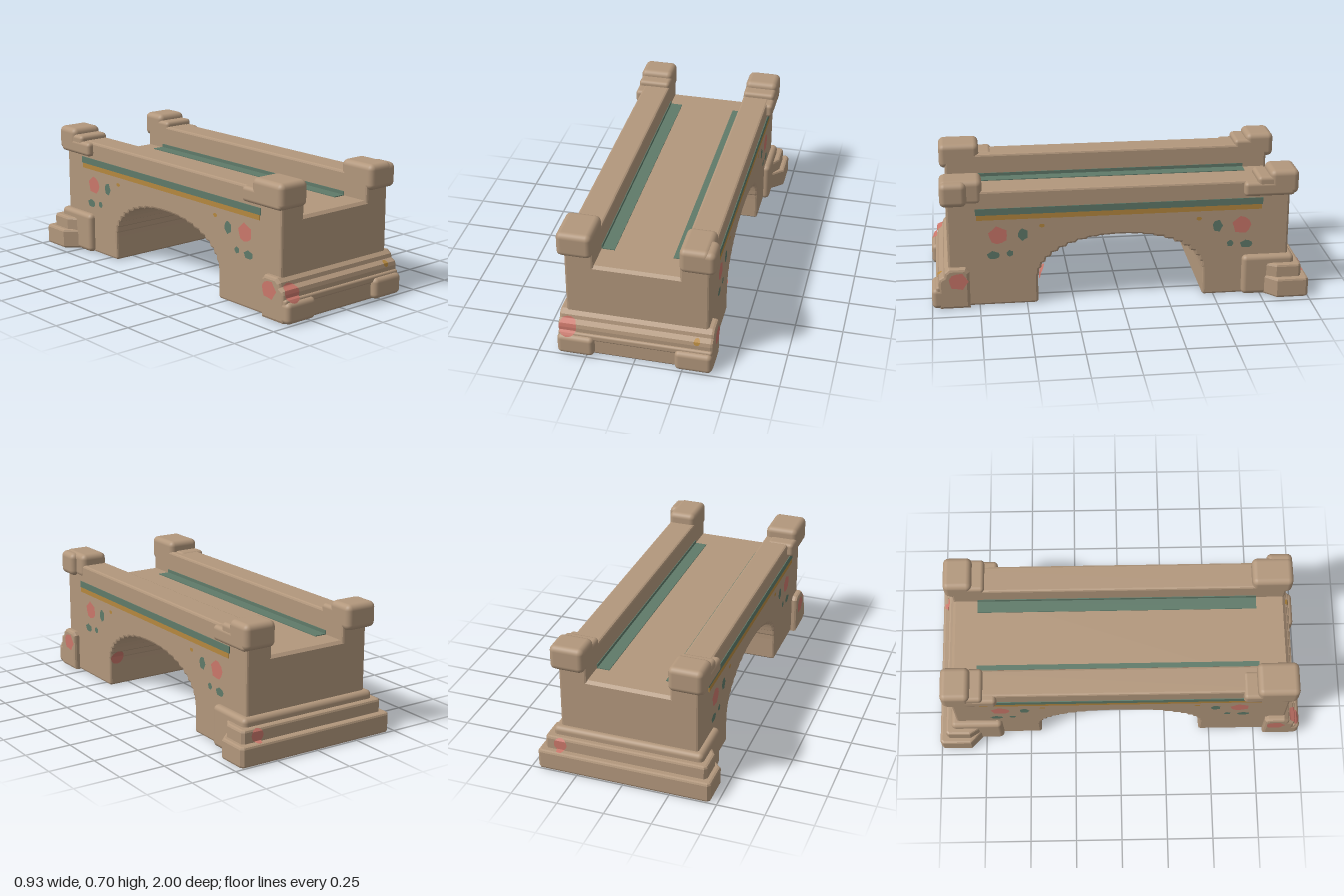
import * as THREE from 'three';
import { RoundedBoxGeometry } from 'three/addons/geometries/RoundedBoxGeometry.js';

export function createModel() {
  const model = new THREE.Group();
  model.name = 'bridge';
  const material = (name, color, side = THREE.FrontSide) => {
    const m = new THREE.MeshStandardMaterial({ color, side });
    m.name = name;
    return m;
  };
  const stone = material('sandstone', 0xb2977c);
  const green = material('greenPaint', 0x5f7a69, THREE.DoubleSide);
  const orange = material('orangePaint', 0xb5883f, THREE.DoubleSide);
  const red = material('redPaint', 0xca776a, THREE.DoubleSide);

  const add = (name, geometry, mat = stone) => {
    const mesh = new THREE.Mesh(geometry, mat);
    mesh.name = name;
    model.add(mesh);
    return mesh;
  };
  // Box given by its limits; rounded when r > 0
  const block = (name, x, y, z, r = 0.02, mat = stone) => {
    const [w, h, d] = [x, y, z].map((a) => Math.abs(a[1] - a[0]));
    const g = r ? new RoundedBoxGeometry(w, h, d, 3, r) : new THREE.BoxGeometry(w, h, d);
    g.translate((x[0] + x[1]) / 2, (y[0] + y[1]) / 2, (z[0] + z[1]) / 2);
    return add(name, g, mat);
  };
  const extrude = (pts, depth, bevel) => {
    const shape = new THREE.Shape(pts.map((p) => new THREE.Vector2(p[0], p[1])));
    const g = new THREE.ExtrudeGeometry(shape, {
      depth: depth - 2 * bevel, bevelEnabled: bevel > 0,
      bevelSize: bevel, bevelThickness: bevel, bevelOffset: -bevel, bevelSegments: 2,
    });
    return g.translate(0, 0, bevel);
  };
  // Side profile of (z, y) points, extruded between two x limits
  const across = (name, pts, x0, x1, bevel) =>
    add(name, extrude(pts, x1 - x0, bevel).rotateY(-Math.PI / 2).translate(x1, 0, 0));

  // Lightly stepped arch opening
  const arch = [];
  const steps = 22;
  const onArch = (i) => {
    const a = Math.PI * (1 - i / steps);
    return [0.44 * Math.cos(a), 0.13 + 0.24 * Math.sin(a)];
  };
  for (let i = 0; i <= steps; i++) {
    const p = onArch(i);
    arch.push(p);
    if (i === steps) break;
    const q = onArch(i + 1);
    const corner = q[1] > p[1] ? [p[0], q[1]] : [q[0], p[1]];
    arch.push([0, 1].map((k) => (p[k] + q[k]) / 2 * 0.4 + corner[k] * 0.6));
  }
  const profile = (top) => [
    [-0.9, 0.012], [-0.888, 0], [-0.45, 0], [-0.44, 0.01], ...arch,
    [0.44, 0.01], [0.45, 0], [0.898, 0], [0.91, 0.012],
    [0.91, top - 0.015], [0.895, top], [-0.885, top], [-0.9, top - 0.015],
  ];

  // Deck and side walls
  across('deck', profile(0.51), -0.3, 0.3, 0);
  across('leftWall', profile(0.64), 0.22, 0.37, 0.012);
  across('rightWall', profile(0.64), -0.37, -0.22, 0.012);

  for (const s of [1, -1]) {
    const side = s > 0 ? 'left' : 'right';
    const span = (a, b) => [s * a, s * b];

    // Corner posts with overhanging caps
    block(side + 'FrontCap', span(0.22, s > 0 ? 0.375 : 0.403), [0.565, 0.7], [0.72, 0.94], 0.03);
    if (s > 0) block('leftFrontCapLip', [0.25, 0.403], [0.565, 0.695], [0.8, 0.94], 0.03);
    else block('rightFrontCapLip', [-0.403, -0.25], [0.565, 0.645], [0.65, 0.93], 0.02);
    block(side + 'BackCap', span(0.22, 0.403), [0.565, 0.7], [-0.94, -0.785], 0.03);
    block(side + 'BackCapStep', span(0.22, 0.4), [0.565, 0.668], [-0.9, -0.72], 0.02);
    block(side + 'BackCapLip', span(0.25, 0.403), [0.56, 0.638], [-0.92, -0.65], 0.02);

    // Front corner feet
    block(side + 'FrontFoot', span(0.21, 0.403), [0.003, 0.115], [0.82, 1], 0.025);

    // Painted bands along the deck and walls
    block(side + 'DeckBand', span(0.152, 0.222), [0.507, 0.514], [-0.765, 0.75], 0, green);
    block(side + 'InnerWallBand', span(0.216, 0.223), [0.511, 0.532], [-0.765, 0.75], 0, green);
    block(side + 'GreenBand', span(0.366, 0.374), [0.509, 0.545], [-0.755, 0.76], 0, green);
    block(side + 'OrangeBand', span(0.366, 0.374), [0.482, 0.509], [-0.75, 0.755], 0, orange);

    // Painted flowers, leaves and dots on the walls
    const spot = (name, mat, z, y, rz, ry, x = 0.373) => {
      const g = new THREE.CircleGeometry(1, 11);
      const p = g.attributes.position;
      for (let i = 1; i < p.count; i++) {
        const k = 0.92 + 0.1 * Math.sin(((i - 1) % 11) * 2.8 + z * 9);
        p.setXY(i, p.getX(i) * k, p.getY(i) * k);
      }
      g.scale(rz, ry, 1).rotateY(s * Math.PI / 2).translate(s * x, y, z);
      add(side + name, g, mat);
    };
    for (const e of [1, -1]) {
      spot('Flower', red, e * 0.645, 0.395, 0.053, 0.052);
      spot('Leaf', green, e * 0.515, 0.395, 0.028, 0.036);
      spot('Leaf', green, e * 0.672, 0.285, 0.036, 0.024);
      spot('Leaf', green, e * 0.585, 0.292, 0.019, 0.019);
      spot('Dot', orange, e * 0.415, 0.44, 0.017, 0.011);
    }
    spot('FootFlower', red, 0.86, 0.157, 0.054, 0.05, 0.406);
  }

  // Front plinth with sloping steps
  const frontSlope = [[0.965, 0.15], [0.96, 0.17], [0.935, 0.185], [0.93, 0.205], [0.905, 0.225]];
  across('frontPlinth', [[0.8, 0], [0.955, 0], [0.965, 0.012], ...frontSlope, [0.82, 0.225], [0.8, 0.205]],
    -0.403, 0.403, 0.015);
  block('frontPlinthLedge', [-0.4, 0.4], [0.09, 0.128], [0.85, 0.978], 0.012);

  // Back plinth: layers with chamfered inner corners
  const layer = (name, w, back, y) => {
    const half = [[0.39, 0.76], [w, 0.83], [w, back - 0.015], [w - 0.015, back]];
    const pts = [...half, ...half.slice().reverse().map((p) => [-p[0], p[1]])];
    // shape y becomes -z, depth becomes y
    add(name, extrude(pts, y, 0.013).rotateX(-Math.PI / 2));
  };
  layer('backPlinthLower', 0.465, 1, 0.11);
  layer('backPlinthMiddle', 0.435, 0.963, 0.18);
  block('backPlinthUpper', [-0.403, 0.403], [0, 0.222], [-0.93, -0.65], 0.025);

  // Round paint patch draped over a (z, y) profile that rises in y
  const patch = (name, mat, cx, cy, r, pts) => {
    const y0 = cy - r * 0.98, y1 = cy + r * 0.98;
    const rows = pts.map((p) => p[1]).filter((y) => y > y0 && y < y1);
    for (let i = 0; i <= 10; i++) rows.push(y0 + (y1 - y0) * i / 10);
    rows.sort((a, b) => a - b);
    const pos = [], index = [];
    rows.forEach((y, i) => {
      let k = 0;
      while (k < pts.length - 2 && pts[k + 1][1] < y) k++;
      const [a, b] = [pts[k], pts[k + 1]];
      const t = Math.min(1, Math.max(0, (y - a[1]) / (b[1] - a[1])));
      const z = a[0] + (b[0] - a[0]) * t;
      const w = Math.sqrt(Math.max(0, r * r - (y - cy) ** 2));
      pos.push(cx - w, y, z, cx + w, y, z);
      const n = 2 * i;
      // outward toward +z at the front, -z elsewhere
      if (i) index.push(...(z > 0.8 ? [n - 2, n - 1, n + 1, n - 2, n + 1, n] : [n - 2, n + 1, n - 1, n - 2, n, n + 1]));
    });
    const g = new THREE.BufferGeometry();
    g.setAttribute('position', new THREE.Float32BufferAttribute(pos, 3));
    g.setIndex(index);
    g.computeVertexNormals();
    add(name, g, mat);
  };
  const frontDrape = [[1.004, 0.09], [0.99, 0.117], [0.982, 0.129], [0.97, 0.135],
    ...frontSlope.map(([z, y]) => [z + 0.005, y + 0.003])];
  patch('frontFlower', red, -0.35, 0.155, 0.047, frontDrape);
  patch('frontDot', orange, 0.32, 0.17, 0.016, frontDrape);
  patch('backFlower', red, 0.35, 0.145, 0.035, [[-1.004, 0.09], [-0.99, 0.113], [-0.968, 0.116],
    [-0.968, 0.165], [-0.955, 0.183], [-0.935, 0.185], [-0.935, 0.21]]);
  patch('archFlower', red, 0.33, 0.165, 0.04, [[0.432, 0.1], [0.432, 0.13], [0.425, 0.17], [0.4, 0.215]]);

  return model;
}
